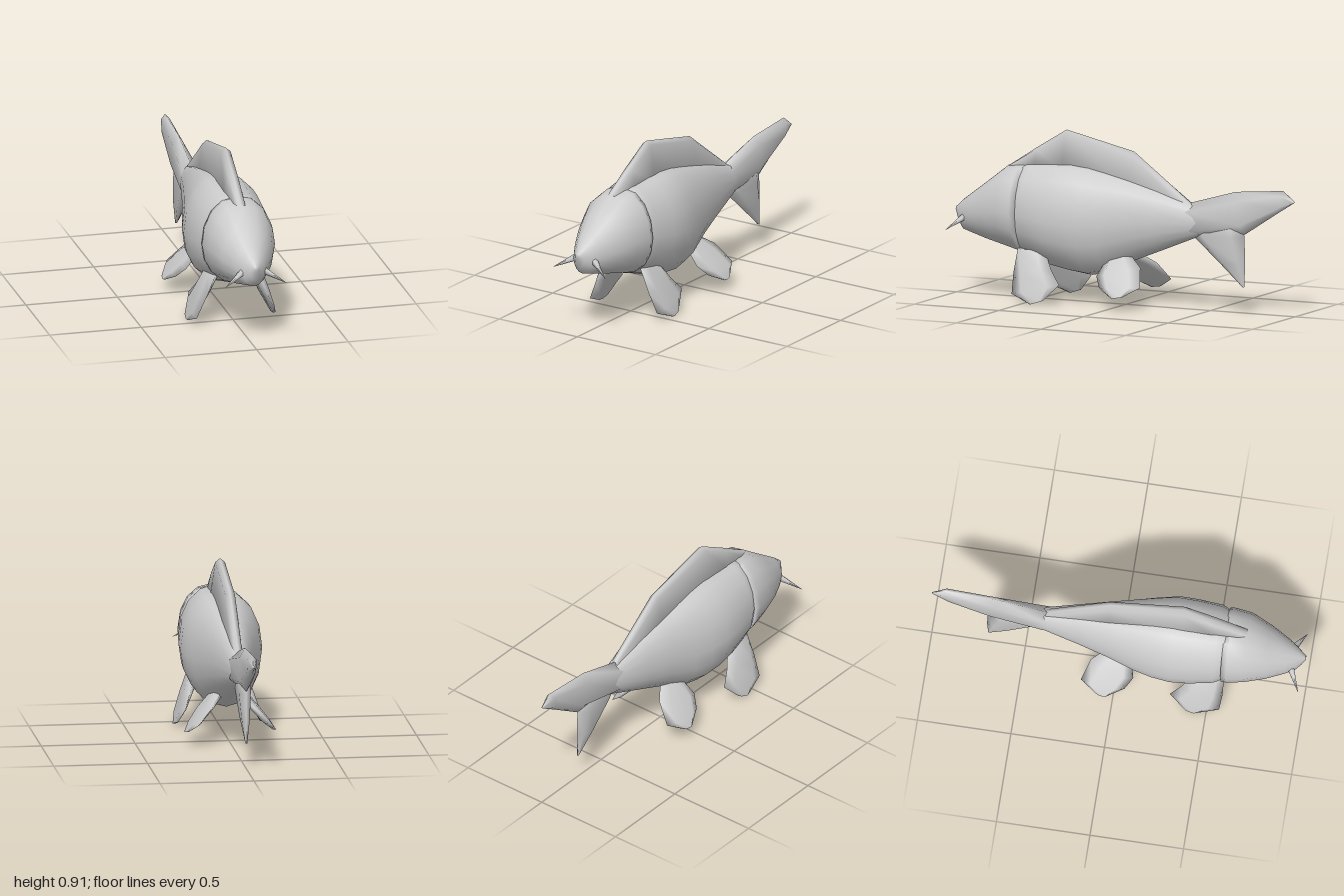
import * as THREE from 'three';

const material = new THREE.MeshStandardMaterial({ color: 0xcccccc });

// Skin closed rings of [x, y, z] points into one smooth solid with capped ends.
function loft(name, rings) {
  const n = rings[0].length;
  const points = rings.flat();
  const faces = [];
  for (let r = 0; r < rings.length - 1; r++) {
    for (let i = 0; i < n; i++) {
      const j = (i + 1) % n;
      const a = r * n + i, b = r * n + j, c = a + n, d = b + n;
      faces.push([a, b, d], [a, d, c]);
    }
  }
  const last = (rings.length - 1) * n;
  for (let i = 1; i < n - 1; i++) {
    faces.push([0, i + 1, i], [last, last + i, last + i + 1]);
  }
  // Turn the faces outward if the enclosed volume comes out negative.
  const v = points.map((p) => new THREE.Vector3(...p));
  let volume = 0;
  for (const [a, b, c] of faces) volume += v[a].dot(v[b].clone().cross(v[c]));
  if (volume < 0) faces.forEach((f) => f.reverse());

  const geometry = new THREE.BufferGeometry();
  geometry.setAttribute('position', new THREE.Float32BufferAttribute(points.flat(), 3));
  geometry.setIndex(faces.flat());
  geometry.computeVertexNormals();
  const mesh = new THREE.Mesh(geometry, material);
  mesh.name = name;
  return mesh;
}

// Oval cross-section of the body: [z, top, bottom, half width].
function oval([z, top, bottom, halfWidth]) {
  const middle = bottom + (top - bottom) * 0.47;
  return Array.from({ length: 16 }, (_, i) => {
    const a = (i / 16) * Math.PI * 2;
    const s = Math.sin(a), c = Math.cos(a);
    const x = Math.sign(s) * Math.abs(s) ** 0.92 * halfWidth;
    return [x, middle + c * (c > 0 ? top - middle : middle - bottom), z];
  });
}

// Fin blade from sections [leadZ, leadY, trailZ, trailY, half thickness];
// xAt gives the sideways position of the blade at a height.
function blade(name, sections, xAt = () => 0) {
  const outline = [[0, 0], [0.22, 1], [0.78, 1], [1, 0], [0.78, -1], [0.22, -1]];
  return loft(name, sections.map(([z0, y0, z1, y1, t]) => outline.map(([f, side]) => {
    const y = y0 + (y1 - y0) * f;
    return [xAt(y) + side * t, y, z0 + (z1 - z0) * f];
  })));
}

export function createModel() {
  const fish = new THREE.Group();
  fish.name = 'fish';

  // Trunk tapering into the tail root
  fish.add(loft('body', [
    [0.64, 0.69, 0.28, 0.165],
    [0.57, 0.725, 0.235, 0.178],
    [0.53, 0.73, 0.225, 0.2],
    [0.4, 0.74, 0.18, 0.215],
    [0.3, 0.745, 0.16, 0.218],
    [0.2, 0.735, 0.147, 0.2],
    [0.1, 0.715, 0.165, 0.175],
    [-0.05, 0.68, 0.24, 0.135],
    [-0.2, 0.635, 0.3, 0.098],
    [-0.41, 0.56, 0.385, 0.052],
    [-0.55, 0.53, 0.44, 0.025],
  ].map(oval)));

  // Head, its rear rim forming the gill covers
  fish.add(loft('head', [
    [1, 0.463, 0.44, 0.012],
    [0.98, 0.48, 0.385, 0.03],
    [0.95, 0.508, 0.342, 0.058],
    [0.9, 0.545, 0.328, 0.09],
    [0.8, 0.62, 0.3, 0.14],
    [0.69, 0.704, 0.272, 0.18],
    [0.6, 0.72, 0.248, 0.193],
    [0.57, 0.72, 0.243, 0.19],
  ].map(oval)));

  // Long back fin: [z, base y, top y, base half width, top half width]
  fish.add(loft('dorsalFin', [
    [0.7, 0.66, 0.695, 0.04, 0.02],
    [0.52, 0.69, 0.81, 0.052, 0.025],
    [0.35, 0.7, 0.913, 0.054, 0.026],
    [-0.05, 0.62, 0.822, 0.05, 0.026],
    [-0.39, 0.5, 0.567, 0.034, 0.02],
  ].map(([z, y0, y1, b, t]) => {
    const shoulder = y1 - (y1 - y0) * 0.1;
    return [[-b, y0, z], [-t, shoulder, z], [0, y1, z], [t, shoulder, z], [b, y0, z]];
  })));

  // Forked tail
  const tail = new THREE.Group();
  tail.name = 'tailFin';
  tail.add(blade('upperTailLobe', [
    [-0.36, 0.565, -0.41, 0.385, 0.05],
    [-0.65, 0.647, -0.7, 0.42, 0.032],
    [-0.93, 0.67, -0.9, 0.55, 0.024],
    [-1, 0.615, -0.99, 0.607, 0.004],
  ]));
  tail.add(blade('lowerTailLobe', [
    [-0.4, 0.47, -0.69, 0.5, 0.03],
    [-0.41, 0.385, -0.7, 0.41, 0.032],
    [-0.56, 0.255, -0.705, 0.27, 0.022],
    [-0.688, 0.143, -0.699, 0.138, 0.005],
  ]));
  fish.add(tail);

  // Paired fins and whiskers
  for (const [label, side] of [['left', 1], ['right', -1]]) {
    fish.add(blade(label + 'PectoralFin', [
      [0.58, 0.28, 0.42, 0.28, 0.03],
      [0.58, 0.16, 0.36, 0.18, 0.024],
      [0.568, 0.05, 0.3, 0.11, 0.016],
      [0.45, 0.003, 0.38, 0.025, 0.009],
    ], (y) => side * (0.135 + (0.24 - y) * 0.42)));

    fish.add(blade(label + 'PelvicFin', [
      [0.07, 0.28, -0.02, 0.3, 0.03],
      [0.1, 0.165, -0.135, 0.22, 0.026],
      [0.06, 0.112, -0.175, 0.125, 0.02],
      [-0.03, 0.067, -0.09, 0.075, 0.008],
    ], (y) => side * (0.1 + (0.22 - y) * 0.9)));

    const root = new THREE.Vector3(side * 0.045, 0.425, 0.92);
    const tip = new THREE.Vector3(side * 0.17, 0.355, 0.985);
    const along = tip.clone().sub(root);
    const barbel = new THREE.Mesh(new THREE.ConeGeometry(0.022, along.length(), 6), material);
    barbel.position.copy(root).addScaledVector(along, 0.5);
    barbel.quaternion.setFromUnitVectors(new THREE.Vector3(0, 1, 0), along.normalize());
    barbel.name = label + 'Barbel';
    fish.add(barbel);
  }
  return fish;
}
